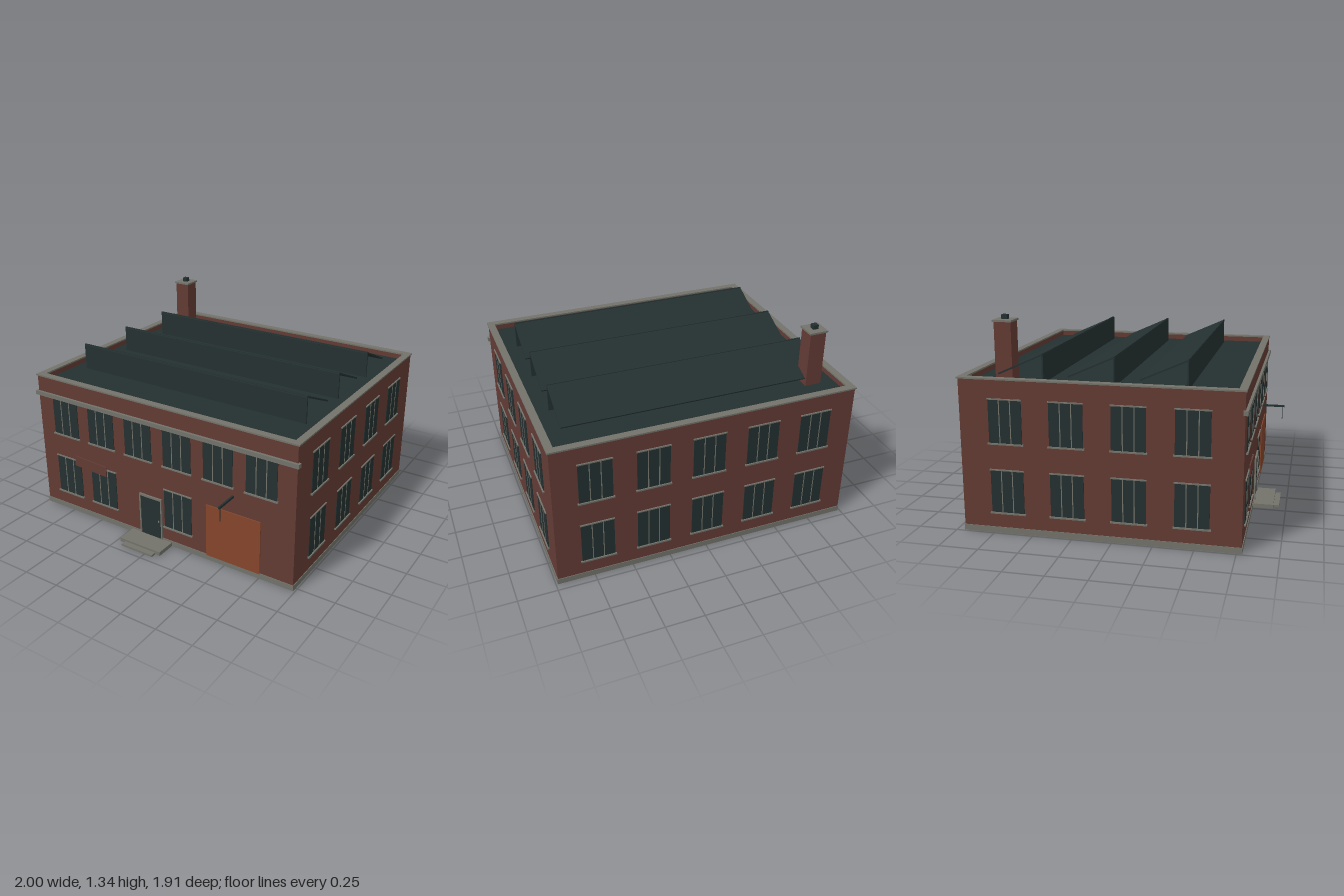
import * as THREE from 'three';

const mat = (name, color) => {
  const m = new THREE.MeshStandardMaterial({ color });
  m.name = name;
  return m;
};

export function createModel() {
  const brick = mat('brick', 0x633b34);
  const stone = mat('stone', 0x73736b);
  const dark = mat('dark slate', 0x243030);
  const rust = mat('rusty orange', 0x84452a);

  const model = new THREE.Group();
  model.name = 'brickFactory';

  // Box given by its lower and upper corners
  const box = (parent, name, m, x0, x1, y0, y1, z0, z1) => {
    const mesh = new THREE.Mesh(new THREE.BoxGeometry(x1 - x0, y1 - y0, z1 - z0), m);
    mesh.position.set((x0 + x1) / 2, (y0 + y1) / 2, (z0 + z1) / 2);
    mesh.name = name;
    parent.add(mesh);
    return mesh;
  };

  // Rectangular ring of four bars, with outer edges and a bar width
  const ring = (name, m, X, y0, y1, z0, z1, w) => {
    const g = new THREE.Group();
    g.name = name;
    box(g, name + 'Front', m, -X, X, y0, y1, z1 - w, z1);
    box(g, name + 'Back', m, -X, X, y0, y1, z0, z0 + w);
    box(g, name + 'Left', m, X - w, X, y0, y1, z0 + w, z1 - w);
    box(g, name + 'Right', m, -X, -X + w, y0, y1, z0 + w, z1 - w);
    model.add(g);
  };

  const X = 0.985, ZF = 0.78, ZB = -0.947, DECK = 0.935;

  // Shell: plinth, walls, roof deck, parapet, coping and front belt course
  box(model, 'plinth', stone, -0.989, 0.989, 0, 0.038, ZB - 0.004, ZF + 0.004);
  box(model, 'walls', brick, -X, X, 0.03, DECK - 0.005, ZB, ZF);
  box(model, 'roofDeck', dark, -0.95, 0.95, DECK - 0.005, DECK, ZB + 0.035, ZF - 0.035);
  ring('parapet', brick, X, DECK - 0.005, 0.97, ZB, ZF, 0.037);
  ring('coping', stone, 0.993, 0.97, 0.98, ZB - 0.008, ZF + 0.006, 0.048);
  box(model, 'beltCourse', stone, -1, 1, 0.835, 0.863, 0.768, 0.797);

  // Sawtooth roof lights: upright plate and sloping panel, open at the ends
  const rise = 0.13, run = 0.29;
  for (const z of [0.437, -0.006, -0.449]) {
    const tooth = new THREE.Group();
    tooth.name = 'sawtooth';
    box(tooth, 'sawtoothUpright', dark, -0.858, 0.856, DECK, 1.115, z - 0.01, z);
    const slope = box(tooth, 'sawtoothSlope', dark, -0.858, 0.856, -0.005, 0.005,
      -Math.hypot(rise, run) / 2, Math.hypot(rise, run) / 2);
    slope.position.set(-0.001, 1.11 - rise / 2, z - run / 2);
    slope.rotation.x = -Math.atan2(rise, run);
    model.add(tooth);
  }

  // Chimney
  const chimney = new THREE.Group();
  chimney.name = 'chimney';
  const block = (name, m, h, y0, y1) =>
    box(chimney, name, m, -0.799 - h, -0.799 + h, y0, y1, -0.702 - h, -0.702 + h);
  block('chimneyStack', brick, 0.054, DECK, 1.298);
  block('chimneyCap', stone, 0.062, 1.298, 1.31);
  block('chimneyPot', dark, 0.018, 1.31, 1.338);
  model.add(chimney);

  // Window built facing +z, with its sill at the local origin
  const addWindow = (x, y, z, turn) => {
    const g = new THREE.Group();
    g.name = 'window';
    box(g, 'windowGlass', dark, -0.105, 0.105, 0, 0.275, -0.004, 0.004);
    for (const mx of [-0.035, 0.035])
      box(g, 'windowMullion', stone, mx - 0.003, mx + 0.003, 0, 0.275, 0, 0.006);
    box(g, 'windowSill', stone, -0.114, 0.114, -0.006, 0.004, -0.004, 0.012);
    box(g, 'windowLintel', stone, -0.109, 0.109, 0.273, 0.281, -0.004, 0.008);
    g.position.set(x, y, z);
    g.rotation.y = turn;
    model.add(g);
  };
  const LOW = 0.132, HIGH = 0.576;
  for (let i = 0; i < 6; i++) addWindow(-0.757 + i * 0.3025, HIGH, ZF, 0);
  for (const x of [-0.757, -0.4545, 0.15]) addWindow(x, LOW, ZF, 0);
  for (const y of [LOW, HIGH]) {
    for (let i = 0; i < 5; i++) addWindow(-0.72 + i * 0.36, y, ZB, Math.PI);
    for (let i = 0; i < 4; i++)
      for (const s of [-1, 1]) addWindow(s * X, y, 0.485 - i * 0.38, s * Math.PI / 2);
  }

  // Front door with surround, handle and steps
  const door = new THREE.Group();
  door.name = 'door';
  box(door, 'doorLeaf', dark, -0.147, 0.02, 0.026, 0.315, ZF - 0.002, ZF + 0.006);
  box(door, 'doorHead', stone, -0.153, 0.025, 0.312, 0.326, ZF, ZF + 0.012);
  box(door, 'doorJambRight', stone, -0.153, -0.144, 0.026, 0.312, ZF, ZF + 0.012);
  box(door, 'doorJambLeft', stone, 0.016, 0.025, 0.026, 0.312, ZF, ZF + 0.012);
  box(door, 'doorHandle', stone, -0.003, 0.003, 0.15, 0.162, ZF, ZF + 0.014);
  box(door, 'upperStep', stone, -0.225, 0.096, 0, 0.027, ZF, 0.918);
  box(door, 'lowerStep', stone, -0.185, 0.06, 0, 0.013, 0.918, 0.955);
  model.add(door);

  // Loading door
  box(model, 'loadingDoor', rust, 0.368, 0.757, 0.034, 0.402, ZF - 0.002, ZF + 0.007);

  // Crooked blank sign board
  const sign = box(model, 'signBoard', brick, -0.134, 0.134, -0.036, 0.036, -0.004, 0.004);
  sign.position.set(-0.557, 0.406, ZF + 0.011);
  sign.rotation.z = -0.05;

  // Hoist arm with hanging rod over the loading door
  const hoist = new THREE.Group();
  hoist.name = 'hoist';
  box(hoist, 'hoistArm', dark, 0.555, 0.567, 0.51, 0.524, ZF, 0.938);
  box(hoist, 'hoistRod', dark, 0.559, 0.563, 0.42, 0.51, 0.921, 0.925);
  model.add(hoist);

  return model;
}
